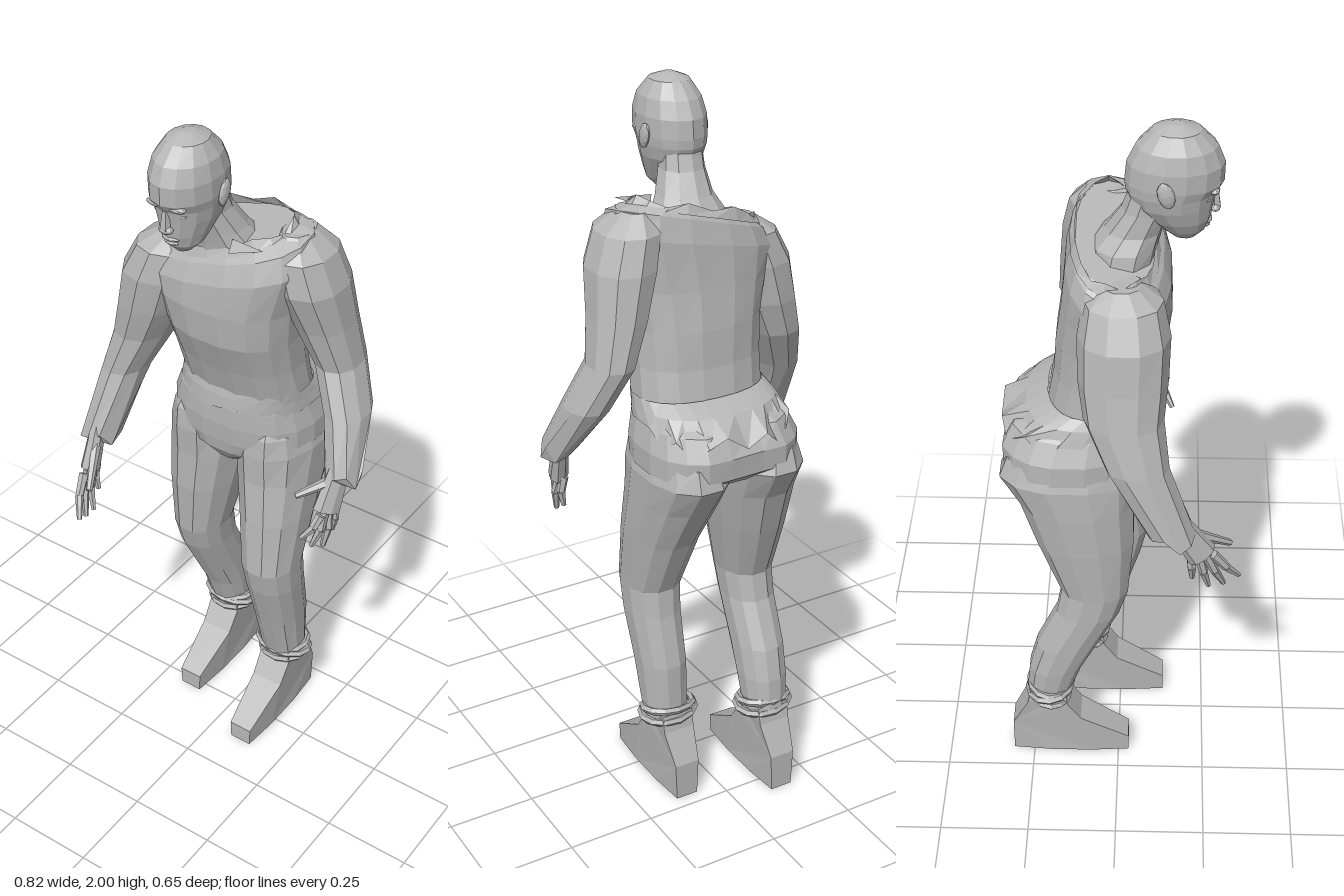
import * as THREE from 'three';

const skin = new THREE.MeshStandardMaterial({ color: 0xb6b6b6, flatShading: true, side: THREE.DoubleSide });
skin.name = 'plain grey';

// Skin over horizontal rings [y, xMin, xMax, zBack, zFront].
// warp(point, ringIndex, sideIndex) may move each vertex.
function loft(rings, { sides = 12, square = 0.9, capped = true, warp } = {}) {
  rings = [...rings].sort((a, b) => a[0] - b[0]);
  const pos = [], idx = [], p = new THREE.Vector3();
  const bend = v => Math.sign(v) * Math.abs(v) ** square;
  rings.forEach(([y, x0, x1, z0, z1], j) => {
    for (let i = 0; i < sides; i++) {
      const a = (i + 0.5) / sides * Math.PI * 2;
      p.set((x0 + x1) / 2 + bend(Math.cos(a)) * (x1 - x0) / 2, y, (z0 + z1) / 2 + bend(Math.sin(a)) * (z1 - z0) / 2);
      if (warp) warp(p, j, i);
      pos.push(p.x, p.y, p.z);
    }
  });
  for (let j = 0; j < rings.length - 1; j++) {
    for (let i = 0; i < sides; i++) {
      const k = (i + 1) % sides, a = j * sides + i, b = j * sides + k;
      idx.push(a, a + sides, b, b, a + sides, b + sides);
    }
  }
  if (capped) {
    const t = (rings.length - 1) * sides;
    for (let i = 1; i < sides - 1; i++) idx.push(0, i, i + 1, t, t + i + 1, t + i);
  }
  const g = new THREE.BufferGeometry();
  g.setAttribute('position', new THREE.Float32BufferAttribute(pos, 3));
  g.setIndex(idx);
  g.computeVertexNormals();
  return g;
}

function add(parent, name, geometry) {
  const m = new THREE.Mesh(geometry, skin);
  m.name = name;
  parent.add(m);
  return m;
}

// Tapered rod between two points
function rod(parent, name, from, to, r0, r1, sides = 6) {
  const a = new THREE.Vector3(...from), b = new THREE.Vector3(...to);
  const d = b.clone().sub(a);
  const m = add(parent, name, new THREE.CylinderGeometry(r1, r0, d.length(), sides));
  m.position.copy(a).add(b).multiplyScalar(0.5);
  m.quaternion.setFromUnitVectors(new THREE.Vector3(0, 1, 0), d.normalize());
  return m;
}

function ball(parent, name, pos, scale) {
  const m = add(parent, name, new THREE.IcosahedronGeometry(1, 1));
  m.position.set(...pos);
  m.scale.set(...scale);
  return m;
}

function buildHead() {
  const head = new THREE.Group();
  head.name = 'head';
  add(head, 'skull', loft([
    [2.0, -0.055, -0.025, 0.12, 0.155], [1.985, -0.092, 0.012, 0.078, 0.2], [1.945, -0.118, 0.038, 0.04, 0.24],
    [1.9, -0.128, 0.048, 0.018, 0.258], [1.85, -0.128, 0.048, 0.013, 0.257], [1.825, -0.124, 0.044, 0.015, 0.24],
    [1.79, -0.117, 0.037, 0.03, 0.233], [1.75, -0.102, 0.022, 0.07, 0.226], [1.72, -0.085, 0.01, 0.105, 0.215],
    [1.695, -0.06, -0.015, 0.135, 0.19],
  ], { sides: 14, square: 1 }));
  // Face details
  rod(head, 'noseBridge', [-0.04, 1.835, 0.234], [-0.04, 1.778, 0.238], 0.008, 0.014, 5);
  ball(head, 'noseTip', [-0.04, 1.776, 0.236], [0.021, 0.012, 0.014]);
  for (const s of [-1, 1]) {
    ball(head, 'brow', [-0.04 + s * 0.03, 1.84, 0.232], [0.028, 0.01, 0.014]);
    ball(head, 'eye', [-0.04 + s * 0.032, 1.815, 0.214], [0.016, 0.008, 0.012]);
    const ear = ball(head, 'ear', [-0.04 + s * 0.087, 1.85, 0.115], [0.011, 0.036, 0.021]);
    ear.rotation.x = -0.3;
  }
  ball(head, 'upperLip', [-0.04, 1.744, 0.217], [0.026, 0.007, 0.013]);
  ball(head, 'lowerLip', [-0.04, 1.731, 0.212], [0.022, 0.007, 0.013]);
  add(head, 'neck', loft([
    [1.84, -0.095, 0.015, 0.03, 0.14], [1.77, -0.095, 0.025, 0.005, 0.13],
    [1.71, -0.1, 0.05, -0.035, 0.11], [1.67, -0.12, 0.075, -0.07, 0.1], [1.62, -0.13, 0.1, -0.08, 0.09],
  ], { sides: 10 }));
  return head;
}

// Shoulders are raised on the left and lean forward
const lean = p => {
  const k = THREE.MathUtils.smoothstep(p.y, 1.45, 1.67);
  p.y += k * (0.28 * p.x - 0.22 * p.z);
};

function buildShirt() {
  const shirt = new THREE.Group();
  shirt.name = 'shirt';
  add(shirt, 'shirtBody', loft([
    [1.2, -0.185, 0.18, -0.19, 0.055], [1.3, -0.19, 0.175, -0.172, 0.088], [1.4, -0.2, 0.178, -0.165, 0.128],
    [1.5, -0.225, 0.19, -0.15, 0.139], [1.6, -0.25, 0.23, -0.138, 0.135], [1.655, -0.23, 0.215, -0.123, 0.115],
    [1.675, -0.19, 0.17, -0.11, 0.09],
  ], { sides: 16, square: 0.85, warp: lean }));
  // Torn collar, an open band with a zigzag edge
  add(shirt, 'collar', loft([[1.665, -0.215, 0.175, -0.125, 0.105], [1.69, -0.2, 0.155, -0.112, 0.092]], {
    sides: 18, capped: false,
    warp: (p, j, i) => { if (j) p.y += (i * 7 % 5 - 2) * 0.006; lean(p); },
  }));
  // Ragged hem, short in front and spread over the seat behind
  add(shirt, 'hem', loft([[1.222, -0.185, 0.18, -0.19, 0.058], [1.195, -0.2, 0.185, -0.25, 0.064],
    [1.165, -0.214, 0.192, -0.316, 0.068]], {
    sides: 26, square: 0.85, capped: false,
    warp: (p, j, i) => { if (!j) p.y -= (i * 7 % 5) * (p.z < -0.1 ? 0.014 : 0.004); },
  }));
  const flap = add(shirt, 'collarFlap', new THREE.ConeGeometry(0.022, 0.1, 3));
  flap.position.set(0.1, 1.695, 0.09);
  flap.rotation.set(0.3, 0, -1.3);
  return shirt;
}

function buildArm(name, rings, wrist, knuckles, tips, thumb) {
  const arm = new THREE.Group();
  arm.name = name;
  add(arm, 'sleeve', loft(rings, {
    sides: 10,
    warp: (p, j, i) => { if (!j) p.y += (i * 3 % 4 - 2) * 0.014; },
  }));
  // Hand: wrist, palm and spread fingers
  const a = new THREE.Vector3(...wrist), b = new THREE.Vector3(...knuckles);
  const palm = rod(arm, 'palm', wrist, knuckles, 0.032, 0.042, 8);
  palm.scale.set(0.65, 1, 1);
  tips.forEach((t, i) => {
    const base = b.clone();
    base.z += (1.5 - i) * 0.019;
    const mid = base.clone().lerp(new THREE.Vector3(...t), 0.5);
    mid.x += 0.008 * Math.sign(a.x);
    rod(arm, 'finger', base.toArray(), mid.toArray(), 0.014, 0.012);
    rod(arm, 'fingertip', mid.toArray(), t, 0.012, 0.007);
  });
  rod(arm, 'thumb', a.lerp(b, 0.3).toArray(), thumb, 0.018, 0.009);
  return arm;
}

function buildLeg(name, rings, x, dz) {
  const leg = new THREE.Group();
  leg.name = name;
  add(leg, 'trouserLeg', loft(rings, { sides: 12 }));
  // Rolled ragged cuff
  [[0.255, 0.074, 0.1], [0.237, 0.08, -0.08], [0.215, 0.07, 0.12]].forEach(([y, r, tilt], i) => {
    const holder = new THREE.Group();
    holder.name = 'cuffRing';
    holder.position.set(x, y, -0.1 + dz);
    holder.scale.z = 0.8;
    const ring = add(holder, 'cuff', new THREE.TorusGeometry(r, 0.011, 5, 12));
    ring.rotation.set(Math.PI / 2 + tilt, tilt * 0.6, i);
    leg.add(holder);
  });
  // Shoe: side profile (z, y), narrower toward the sole, toe and heel
  const side = [[0.13, 0], [0.13, 0.055], [-0.01, 0.14], [-0.05, 0.2], [-0.05, 0.25], [-0.155, 0.25],
    [-0.165, 0.2], [-0.21, 0.11], [-0.21, 0], [-0.1, 0], [0.02, 0]];
  const shape = new THREE.Shape(side.map(([z, y]) => new THREE.Vector2(-z, y)));
  const g = new THREE.ExtrudeGeometry(shape, { depth: 0.1, bevelEnabled: false });
  g.translate(0, 0, -0.05).rotateY(Math.PI / 2);
  const p = g.attributes.position;
  for (let i = 0; i < p.count; i++) {
    const taper = 1 - 0.2 * ((p.getZ(i) + 0.04) / 0.17) ** 4;
    p.setX(i, p.getX(i) * taper * THREE.MathUtils.clamp(0.82 + p.getY(i), 0.8, 1));
  }
  g.computeVertexNormals();
  add(leg, 'shoe', g).position.set(x, 0, dz);
  return leg;
}

export function createModel() {
  const model = new THREE.Group();
  model.name = 'stoopingFigure';
  model.add(buildHead(), buildShirt());

  model.add(buildArm('leftArm', [
    [1.72, 0.13, 0.205, -0.09, 0.02], [1.67, 0.1, 0.265, -0.135, 0.07], [1.58, 0.12, 0.297, -0.155, 0.07],
    [1.46, 0.16, 0.31, -0.165, 0.025], [1.34, 0.21, 0.328, -0.172, -0.01], [1.22, 0.265, 0.378, -0.13, 0.025],
    [1.08, 0.312, 0.412, -0.02, 0.072],
  ], [0.355, 1.1, 0.03], [0.343, 0.975, 0.075],
  [[0.31, 0.91, 0.145], [0.325, 0.87, 0.115], [0.345, 0.862, 0.09], [0.345, 0.89, 0.045]], [0.28, 1.03, 0.13]));

  model.add(buildArm('rightArm', [
    [1.63, -0.22, -0.12, -0.04, 0.06], [1.595, -0.275, -0.1, -0.085, 0.115], [1.51, -0.32, -0.11, -0.1, 0.134],
    [1.4, -0.338, -0.15, -0.1, 0.13], [1.3, -0.357, -0.2, -0.085, 0.12], [1.18, -0.383, -0.26, -0.03, 0.135],
    [0.99, -0.41, -0.3, 0.085, 0.205],
  ], [-0.352, 1.03, 0.15], [-0.335, 0.905, 0.225],
  [[-0.3, 0.805, 0.325], [-0.31, 0.785, 0.285], [-0.315, 0.78, 0.245], [-0.33, 0.82, 0.2]], [-0.28, 0.9, 0.3]));

  // Trouser seat joins both legs, with a cleft behind
  add(model, 'trouserSeat', loft([
    [1.2, -0.18, 0.172, -0.2, 0.05], [1.16, -0.21, 0.187, -0.295, 0.066], [1.1, -0.236, 0.202, -0.325, 0.066],
    [1.04, -0.238, 0.202, -0.322, 0.06], [1.0, -0.18, 0.14, -0.28, 0.052], [0.955, -0.08, 0.04, -0.2, 0.02],
  ], {
    sides: 20, square: 0.8,
    warp: p => { if (p.z < -0.15 && p.y < 1.18) p.z += 0.05 * Math.max(0, 1 - Math.abs(p.x + 0.02) / 0.07); },
  }));
  model.add(buildLeg('leftLeg', [
    [1.13, 0.04, 0.16, -0.2, 0.02], [1.08, 0.005, 0.19, -0.3, 0.05], [1.02, -0.02, 0.206, -0.318, 0.056],
    [0.93, -0.015, 0.205, -0.258, 0.054], [0.8, 0.012, 0.203, -0.185, 0.068],
    [0.63, 0.037, 0.197, -0.11, 0.08], [0.55, 0.042, 0.195, -0.118, 0.062], [0.4, 0.045, 0.185, -0.15, 0.015],
    [0.23, 0.05, 0.175, -0.155, -0.035],
  ], 0.108, 0));
  model.add(buildLeg('rightLeg', [
    [1.13, -0.19, -0.08, -0.2, 0.02], [1.08, -0.225, -0.045, -0.3, 0.05], [1.02, -0.244, -0.018, -0.322, 0.054],
    [0.93, -0.247, -0.022, -0.268, 0.046], [0.8, -0.243, -0.045, -0.225, 0.046],
    [0.63, -0.232, -0.08, -0.16, 0.03], [0.55, -0.23, -0.085, -0.175, 0.005], [0.42, -0.225, -0.085, -0.235, -0.06],
    [0.33, -0.22, -0.085, -0.258, -0.105], [0.23, -0.21, -0.09, -0.268, -0.14],
  ], -0.148, -0.1));
  return model;
}
